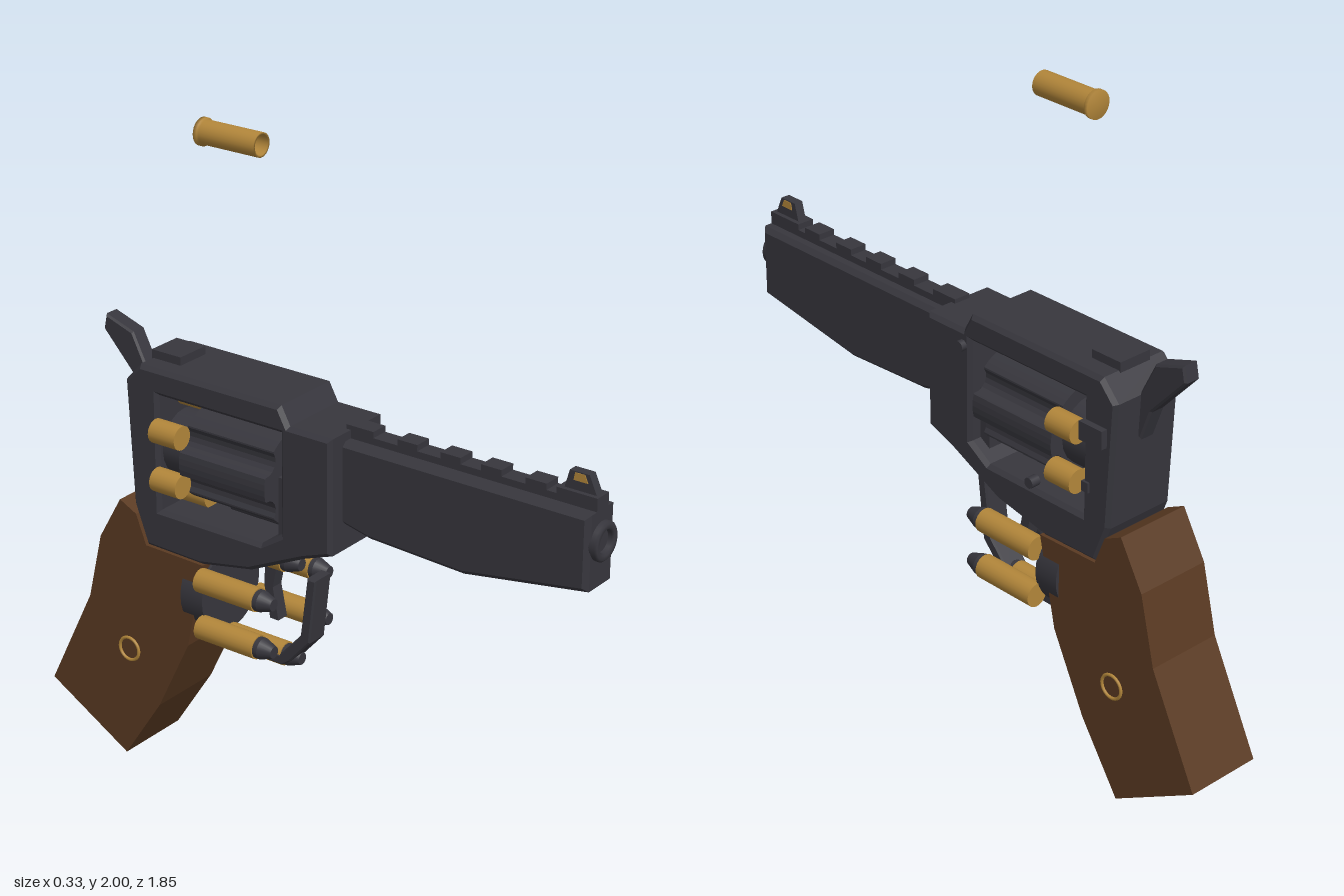
import * as THREE from 'three';

const mat = (name, color) => {
  const m = new THREE.MeshStandardMaterial({ color });
  m.name = name;
  return m;
};

export function createModel() {
  const model = new THREE.Group();
  model.name = 'revolver';
  const steel = mat('dark steel', 0x37363d);
  const wood = mat('grip wood', 0x5a3a22);
  const brass = mat('brass', 0xb2863a);

  const add = (name, geo, material, x = 0, y = 0, z = 0, parent = model) => {
    const m = new THREE.Mesh(geo, material);
    m.name = name;
    m.position.set(x, y, z);
    parent.add(m);
  };
  const box = (name, material, w, y0, y1, z0, z1, x = 0) =>
    add(name, new THREE.BoxGeometry(w, y1 - y0, z1 - z0), material, x, (y0 + y1) / 2, (z0 + z1) / 2);

  // Round bar running along z, from z0 (radius r0) to z1 (radius r1)
  const rod = (name, material, r0, r1, x, y, z0, z1, parent = model, seg = 20) =>
    add(name, new THREE.CylinderGeometry(r1, r0, z1 - z0, seg).rotateX(Math.PI / 2), material, x, y, (z0 + z1) / 2, parent);

  // Side profile given as [z, y] points, extruded across x with a small bevel
  const toPath = (pts, Type) => new Type(pts.map(p => new THREE.Vector2(p[0], p[1])));
  const slab = (name, material, pts, width, bevel = 0, holes = []) => {
    const shape = toPath(pts, THREE.Shape);
    holes.forEach(h => shape.holes.push(toPath(h, THREE.Path)));
    const depth = width - 2 * bevel;
    const geo = new THREE.ExtrudeGeometry(shape, {
      depth, bevelEnabled: bevel > 0, bevelThickness: bevel, bevelSize: bevel, bevelOffset: -bevel, bevelSegments: 1,
    });
    geo.translate(0, 0, -depth / 2).rotateY(-Math.PI / 2);
    add(name, geo, material);
  };

  // Frame with the cylinder window
  slab('frame', steel, [
    [0.125, 1.225], [0.125, 0.875], [0.03, 0.84], [-0.16, 0.75], [-0.34, 0.715], [-0.54, 0.72],
    [-0.585, 0.84], [-0.605, 1.22], [-0.55, 1.28], [-0.05, 1.28], [-0.02, 1.225],
  ], 0.24, 0.012, [[[-0.05, 1.2], [-0.485, 1.2], [-0.485, 0.845], [-0.12, 0.845], [-0.05, 0.89]]]);
  box('crane', steel, 0.16, 0.86, 1.045, -0.085, -0.04);
  box('rearSight', steel, 0.11, 1.27, 1.305, -0.555, -0.45);

  // Small controls on the left side
  for (const [y, z] of [[1.18, -0.022], [0.87, -0.3]])
    add('frameScrew', new THREE.CylinderGeometry(0.016, 0.016, 0.03, 14).rotateZ(Math.PI / 2), steel, 0.122, y, z);
  box('latch', steel, 0.04, 1.085, 1.14, -0.575, -0.49, 0.12);
  box('latchStop', steel, 0.02, 0.925, 0.955, -0.515, -0.49, 0.117);

  // Barrel, rail and muzzle
  slab('barrel', steel, [
    [0.91, 1.2], [0.91, 0.98], [0.52, 0.918], [0.21, 0.932], [0.11, 0.955], [0.11, 1.2],
  ], 0.13, 0.014);
  box('rail', steel, 0.055, 1.19, 1.22, 0.11, 0.91);
  for (const [z0, z1] of [[0.11, 0.2], [0.28, 0.345], [0.42, 0.485], [0.55, 0.615], [0.69, 0.755], [0.785, 0.91]])
    box('railLug', steel, 0.055, 1.21, 1.238, z0, z1);
  const muzzle = [[0.056, -0.05], [0.056, 0.012], [0.05, 0.018], [0.038, 0.018], [0.032, 0.012], [0.032, -0.05]];
  add('muzzle', new THREE.LatheGeometry(muzzle.map(p => new THREE.Vector2(...p)), 24).rotateX(Math.PI / 2),
    steel, 0, 1.11, 0.91);
  slab('frontSight', steel, [[0.9, 1.235], [0.8, 1.235], [0.815, 1.29], [0.875, 1.29]], 0.028);
  slab('sightInsert', brass, [[0.872, 1.265], [0.828, 1.265], [0.832, 1.287], [0.862, 1.287]], 0.032);

  // Hammer
  slab('hammer', steel, [
    [-0.55, 1.12], [-0.605, 1.085], [-0.64, 1.18], [-0.76, 1.31], [-0.75, 1.358], [-0.65, 1.325], [-0.6, 1.225], [-0.55, 1.2],
  ], 0.054, 0.006);

  // Fluted cylinder: six ridges with concave flutes between them
  const cyl = new THREE.Group();
  cyl.name = 'cylinder';
  cyl.position.y = 1.025;
  model.add(cyl);
  const outline = [];
  const deg = Math.PI / 180;
  for (let k = 0; k < 6; k++) {
    for (let a = -14; a <= 14; a += 7)
      outline.push([0.143 * Math.cos((k * 60 + a) * deg), 0.143 * Math.sin((k * 60 + a) * deg)]);
    const c = (k * 60 + 30) * deg;
    for (let i = 1; i < 8; i++) {
      const b = c - Math.PI / 2 - i * Math.PI / 8;
      outline.push([0.15 * Math.cos(c) + 0.038 * Math.cos(b), 0.15 * Math.sin(c) + 0.038 * Math.sin(b)]);
    }
  }
  const drum = new THREE.ExtrudeGeometry(toPath(outline, THREE.Shape), { depth: 0.305, bevelEnabled: false });
  add('drum', drum, steel, 0, 0, -0.39, cyl);
  rod('axlePin', steel, 0.03, 0.03, 0, 0, -0.49, -0.04, cyl);
  rod('ejectorStar', steel, 0.1, 0.1, 0, 0, -0.485, -0.38, cyl);
  rod('ejectorRod', steel, 0.015, 0.015, 0, 0.87, -0.31, -0.08);

  // Six positions around a centre, shared by the cylinder and the round holder
  const around = fn => {
    for (let k = 0; k < 6; k++) fn(0.15 * Math.cos((30 + k * 60) * deg), 0.15 * Math.sin((30 + k * 60) * deg));
  };
  around((x, y) => rod('chamberedRound', brass, 0.036, 0.036, x, y, -0.483, -0.388, cyl));

  // Spare round holder with six rounds
  const holder = new THREE.Group();
  holder.name = 'roundHolder';
  holder.position.y = 0.6;
  model.add(holder);
  rod('holderDisc', steel, 0.132, 0.132, 0, 0, -0.405, -0.325, holder, 32);
  around((x, y) => {
    rod('roundCase', brass, 0.036, 0.036, x, y, -0.33, -0.12, holder);
    rod('bulletBase', steel, 0.032, 0.032, x, y, -0.12, -0.105, holder);
    rod('bulletTip', steel, 0.032, 0.018, x, y, -0.105, -0.065, holder);
  });

  // Trigger guard and trigger
  slab('triggerGuard', steel, [
    [0.012, 0.735], [-0.012, 0.53], [-0.085, 0.448], [-0.11, 0.43], [-0.42, 0.43], [-0.42, 0.46],
    [-0.12, 0.462], [-0.045, 0.545], [-0.02, 0.735],
  ], 0.074, 0.005);
  slab('trigger', steel, [
    [-0.13, 0.78], [-0.155, 0.66], [-0.135, 0.56], [-0.165, 0.56], [-0.185, 0.66], [-0.18, 0.78],
  ], 0.04);

  // Grip with a brass ring on each side
  slab('grip', wood, [
    [-0.33, 0.716], [-0.39, 0.44], [-0.505, 0.205], [-0.64, 0], [-0.925, 0.165], [-0.765, 0.49],
    [-0.715, 0.7], [-0.635, 0.84], [-0.575, 0.81], [-0.54, 0.72],
  ], 0.241);
  for (const s of [-1, 1])
    add('gripRing', new THREE.TorusGeometry(0.036, 0.005, 8, 28).rotateY(Math.PI / 2), brass, s * 0.122, 0.36, -0.615);

  // Hollow spent casing floating above
  const casing = [[0, 0], [0.04, 0], [0.04, 0.012], [0.035, 0.016], [0.035, 0.205], [0.029, 0.205], [0.029, 0.03], [0, 0.03]];
  add('spentCasing', new THREE.LatheGeometry(casing.map(p => new THREE.Vector2(...p)), 24).rotateX(Math.PI / 2),
    brass, 0, 1.96, -0.402);

  return model;
}
